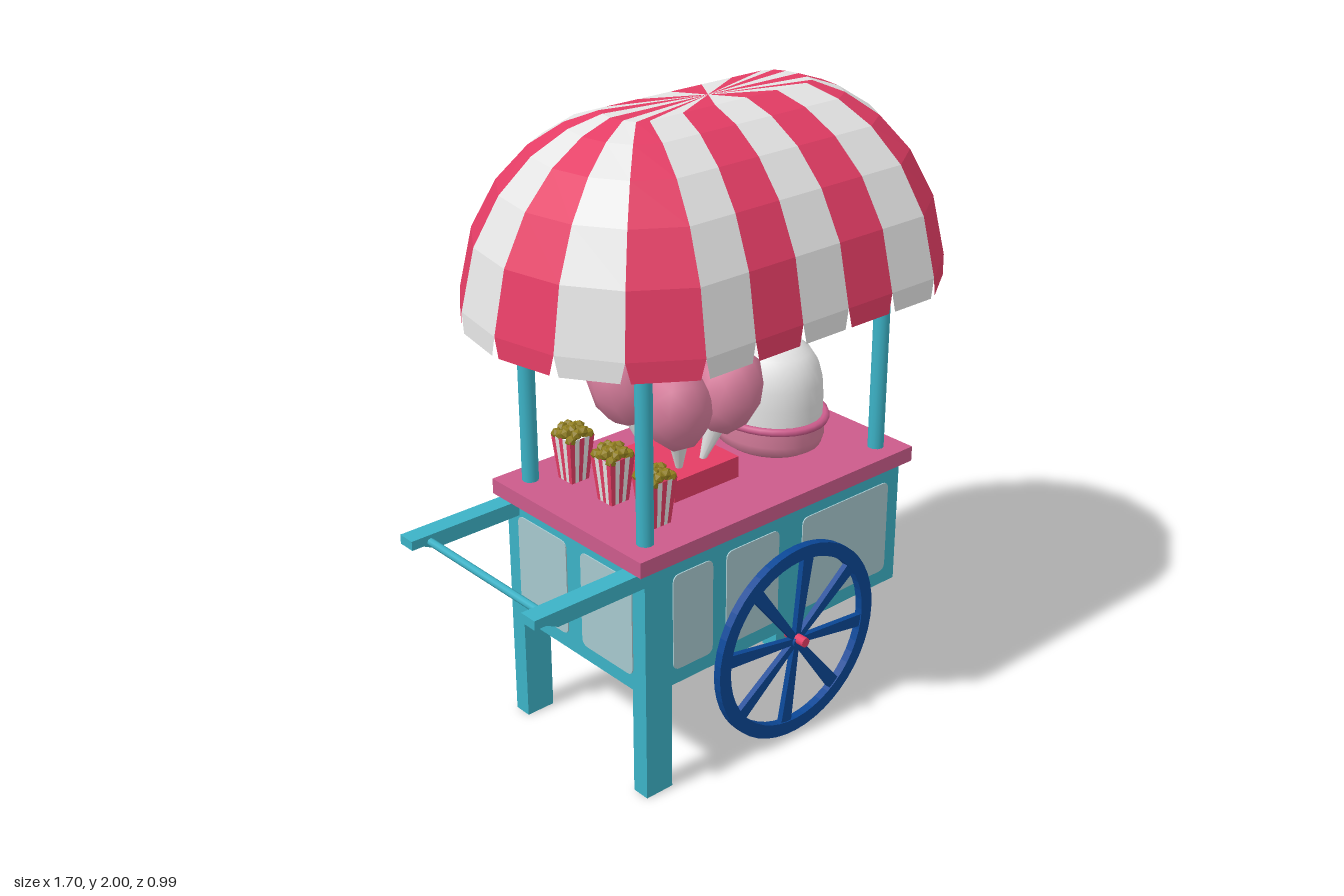
import * as THREE from 'three';

const mat = (name, color, extra = {}) => new THREE.MeshStandardMaterial({ name, color, ...extra });

export function createModel() {
  const white = mat('white', 0xe4e4e4);
  const red = mat('red', 0xe43d65);
  const teal = mat('teal', 0x3cb2c6);
  const blue = mat('blue', 0x0b4796);
  const glass = mat('paleGlass', 0xa6c8ce);
  const pink = mat('counterPink', 0xcb5b8b);
  const candy = mat('candyPink', 0xd87e9d);
  const corn = mat('popcornYellow', 0x8f7d1e);

  const model = new THREE.Group();
  const add = (name, geo, material, x = 0, y = 0, z = 0, parent = model) => {
    const mesh = new THREE.Mesh(geo, material);
    mesh.name = name;
    mesh.position.set(x, y, z);
    parent.add(mesh);
    return mesh;
  };
  // box given by its minimum and maximum corners
  const box = (name, material, x0, x1, y0, y1, z0, z1) =>
    add(name, new THREE.BoxGeometry(x1 - x0, y1 - y0, z1 - z0), material,
      (x0 + x1) / 2, (y0 + y1) / 2, (z0 + z1) / 2);
  const extrude = (shape, depth, curveSegments = 12) =>
    new THREE.ExtrudeGeometry(shape, { depth, bevelEnabled: false, curveSegments });
  const polygon = pts => new THREE.Shape(pts.map(p => new THREE.Vector2(...p)));

  // flat-shaded wall of n columns; point(i, j, s) gives row j on side s of column i
  const loft = (n, rows, point, pick = () => 0, inward = false) => {
    const pos = [];
    const geo = new THREE.BufferGeometry();
    for (let i = 0; i < n; i++) {
      geo.addGroup(pos.length / 3, (rows - 1) * 6, pick(i));
      for (let j = 0; j < rows - 1; j++) {
        const a = point(i, j, 0), b = point(i, j + 1, 0), c = point(i, j + 1, 1), d = point(i, j, 1);
        const quad = inward ? [a, c, b, a, d, c] : [a, b, c, a, c, d];
        quad.forEach(p => pos.push(...p));
      }
    }
    geo.setAttribute('position', new THREE.Float32BufferAttribute(pos, 3));
    geo.computeVertexNormals();
    return geo;
  };

  // canopy: half outlines at the hem and at the flat top, repeated by a half turn
  const hem = [[.78, 0], [.74, .21], [.63, .375], [.45, .495], [.27, .495], [.09, .495],
    [-.09, .495], [-.27, .495], [-.45, .495], [-.63, .375], [-.74, .21]];
  const top = [[.36, 0], [.352, .045], [.335, .08], [.3, .095], [.18, .095], [.06, .095],
    [-.06, .095], [-.18, .095], [-.3, .095], [-.335, .08], [-.352, .045]];
  const tilt = [0, .1, .42, .7, .95, 1.18, 1.38];
  const canopyPoint = (k, t) => {
    const i = k % 22, sign = i < 11 ? 1 : -1, h = hem[i % 11], p = top[i % 11];
    const f = (Math.cos(t) - Math.cos(1.38)) / (1 - Math.cos(1.38));
    return [sign * (p[0] + (h[0] - p[0]) * f), 1.41 + .59 * Math.sin(t) / Math.sin(1.38),
      sign * (p[1] + (h[1] - p[1]) * f)];
  };
  const canopyPanel = (last, shrink) => (i, j, s) => {
    const t = tilt[Math.min(j, last)];
    const p = canopyPoint(i + s, t), q = canopyPoint(i + 1 - s, t);
    if (j > last) return [0, p[1], 0];
    const pull = j === 0 ? .07 : 0; // hem tabs narrow towards the bottom
    return p.map((v, k) => (v + (q[v === undefined ? 0 : k] - v) * pull) * (k === 1 ? 1 : shrink));
  };
  add('stripedCanopy', loft(22, 8, canopyPanel(6, 1), i => i % 2), [red, white], .07);
  add('canopyLining', loft(22, 4, canopyPanel(2, .988), () => 0, true), [white], .07);

  // body: four walls, recessed floor and counter
  box('frontWall', teal, -.46, .6, .36, .79, .275, .325);
  box('backWall', teal, -.46, .6, .36, .79, -.325, -.275);
  box('leftWall', teal, .55, .6, .36, .79, -.275, .275);
  box('rightWall', teal, -.46, -.41, .36, .79, -.275, .275);
  box('floor', teal, -.41, .55, .4, .42, -.275, .275);
  box('counter', pink, -.495, .63, .785, .835, -.35, .35);

  // rounded window panes
  const pane = w => {
    const h = .32, r = .025, s = new THREE.Shape();
    s.moveTo(-w / 2 + r, -h / 2);
    s.lineTo(w / 2 - r, -h / 2).quadraticCurveTo(w / 2, -h / 2, w / 2, -h / 2 + r);
    s.lineTo(w / 2, h / 2 - r).quadraticCurveTo(w / 2, h / 2, w / 2 - r, h / 2);
    s.lineTo(-w / 2 + r, h / 2).quadraticCurveTo(-w / 2, h / 2, -w / 2, h / 2 - r);
    s.lineTo(-w / 2, -h / 2 + r).quadraticCurveTo(-w / 2, -h / 2, -w / 2 + r, -h / 2);
    return extrude(s, .004, 4);
  };
  for (const side of [1, -1]) {
    for (const [x0, x1] of [[-.355, -.2], [-.145, .07], [.17, .55]])
      add('sideWindow', pane(x1 - x0), glass, (x0 + x1) / 2, .57, side * .325)
        .rotation.y = side > 0 ? 0 : Math.PI;
    for (const z of [-.152, .152])
      add('endWindow', pane(.235), glass, side > 0 ? .6 : -.46, .57, z).rotation.y = side * Math.PI / 2;
  }

  // wheel: rim with tapered spokes
  const rim = new THREE.Shape().absarc(0, 0, .33, 0, Math.PI * 2);
  rim.holes.push(new THREE.Path().absarc(0, 0, .285, 0, Math.PI * 2, true));
  const rimGeo = extrude(rim, .027, 24);
  const spokeGeo = extrude(polygon([[.01, -.01], [.295, -.022], [.295, .022], [.01, .01]]), .019);
  const handleGeo = extrude(polygon([[-.85, .75], [-.81, .75], [-.77, .73], [-.46, .73],
    [-.46, .78], [-.85, .78]]), .06);
  const poleGeo = new THREE.CylinderGeometry(.026, .026, .86, 12);

  for (const side of [1, -1]) {
    const wheel = new THREE.Group();
    wheel.name = side > 0 ? 'frontWheel' : 'backWheel';
    wheel.position.set(.12, .335, side * .359);
    model.add(wheel);
    add('rim', rimGeo, blue, 0, 0, -.0135, wheel);
    for (let i = 0; i < 8; i++)
      add('spoke', spokeGeo, blue, 0, 0, -.0095, wheel).rotation.z = (82 - i * 45) * Math.PI / 180;
    add('hub', new THREE.CylinderGeometry(.022, .022, .034, 12), blue, 0, 0, 0, wheel)
      .rotation.x = Math.PI / 2;

    // legs, axle brackets, handles and poles
    const z0 = side > 0 ? .265 : -.325;
    box('leg', teal, -.46, -.36, 0, .37, z0, z0 + .06);
    box('axleBracket', teal, .07, .17, .3, .36, z0, z0 + .06);
    add('handle', handleGeo, teal, 0, 0, z0);
    for (const x of [-.41, .547]) add('canopyPole', poleGeo, teal, x, 1.25, side * .27);
  }
  add('axle', new THREE.CylinderGeometry(.016, .016, .81, 12), red, .12, .345, 0).rotation.x = Math.PI / 2;
  add('pushBar', new THREE.CylinderGeometry(.012, .012, .55, 8), teal, -.785, .757, 0).rotation.x = Math.PI / 2;

  // rounded machine with domed lid
  const lathe = pts => new THREE.LatheGeometry(pts.map(p => new THREE.Vector2(...p)), 32);
  const machine = new THREE.Group();
  machine.name = 'candyMachine';
  machine.position.set(.335, 0, 0);
  machine.scale.z = 1.17;
  model.add(machine);
  add('bowl', lathe([[0, .835], [.135, .835], [.155, .85], [.163, .88], [.164, .94]]), candy, 0, 0, 0, machine);
  add('lid', lathe([[.157, .935], [.158, 1], [.154, 1.06], [.142, 1.11], [.118, 1.15], [.08, 1.176],
    [.04, 1.184], [0, 1.185]]), white, 0, 0, 0, machine);
  add('bowlRim', new THREE.TorusGeometry(.165, .013, 8, 32), pink, 0, .937, 0, machine)
    .rotation.x = Math.PI / 2;

  // cotton candy on paper cones, leaning outwards from a box
  box('candyStand', red, -.185, .075, .835, .905, -.14, .14);
  const flossGeo = new THREE.IcosahedronGeometry(1, 1);
  flossGeo.scale(.105, .145, .105);
  for (const sx of [1, -1]) for (const sz of [1, -1]) {
    const stick = new THREE.Group();
    stick.name = 'cottonCandy';
    stick.position.set(-.06 + sx * .045, .89, sz * .07);
    const lean = new THREE.Vector3(sx * .057, .25, sz * .058).normalize();
    stick.quaternion.setFromUnitVectors(new THREE.Vector3(0, 1, 0), lean);
    model.add(stick);
    add('paperCone', new THREE.CylinderGeometry(.035, .008, .15, 10), white, 0, .075, 0, stick);
    add('floss', flossGeo, candy, 0, .255, 0, stick).rotation.y = sx + sz * .6;
  }

  // striped popcorn boxes, five stripes on each side
  const corners = [[1, -1], [1, 1], [-1, 1], [-1, -1]];
  const cartonGeo = loft(20, 2, (i, j, s) => {
    const k = Math.floor(i / 5), u = (i % 5 + s) / 5, a = corners[k], b = corners[(k + 1) % 4];
    const r = j ? .047 : .033;
    return [r * (a[0] + (b[0] - a[0]) * u), j * .15, r * (a[1] + (b[1] - a[1]) * u)];
  }, i => i % 5 % 2);
  const kernelGeo = new THREE.IcosahedronGeometry(.018, 0);
  for (const z of [-.19, 0, .19]) {
    const carton = new THREE.Group();
    carton.name = 'popcornBox';
    carton.position.set(-.305, .835, z);
    model.add(carton);
    add('carton', cartonGeo, [red, white], 0, 0, 0, carton);
    for (let i = 0; i < 16; i++) {
      const x = i % 4 - 1.5, d = Math.floor(i / 4) - 1.5;
      const y = .168 - .004 * (x * x + d * d) + .006 * Math.sin(i * 7.3);
      add('popcorn', kernelGeo, corn, x * .023, y, d * .023, carton).rotation.set(i, i * 2, 0);
    }
  }
  return model;
}
